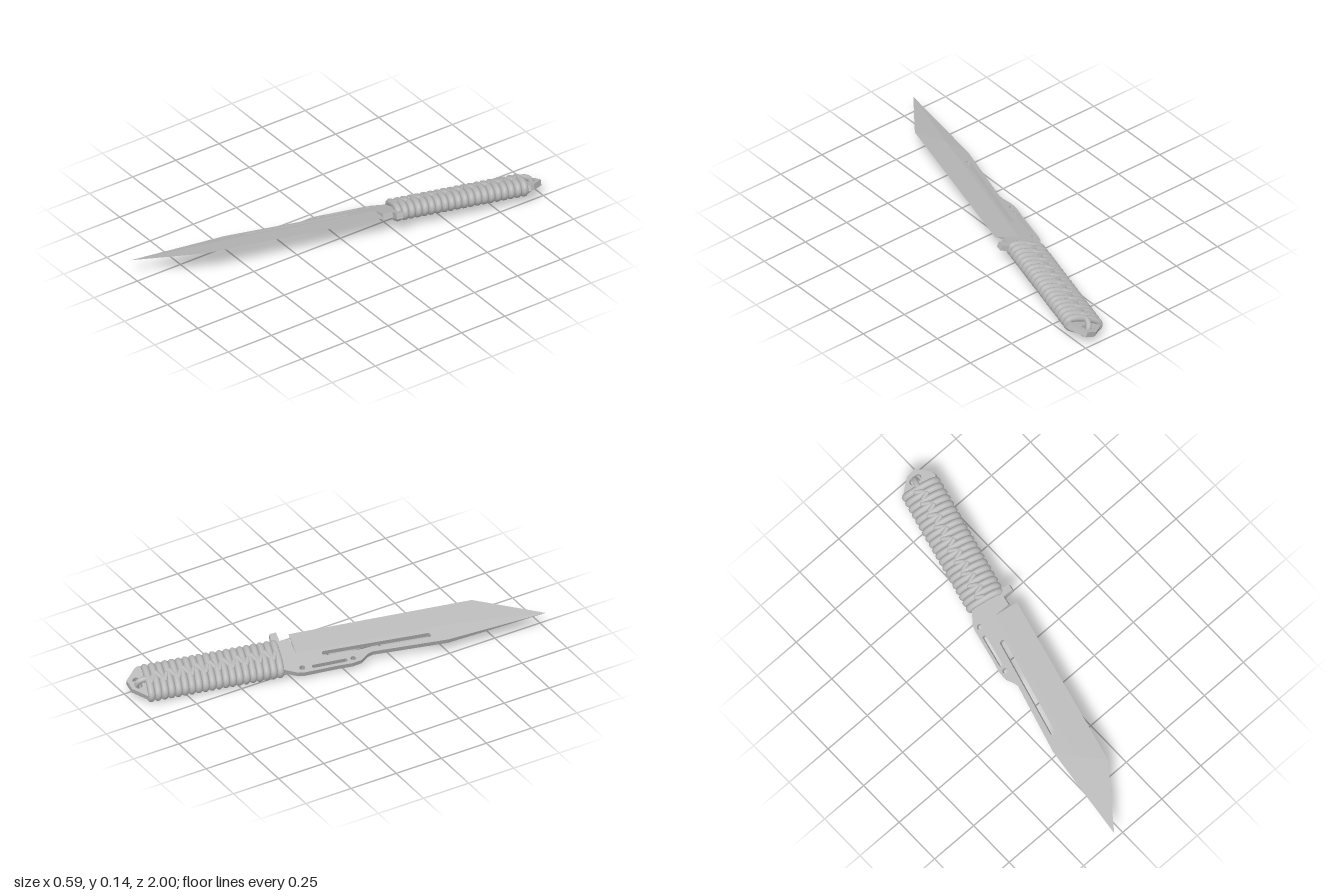
import * as THREE from 'three';

const gray = new THREE.MeshStandardMaterial({ color: 0xb8b8b8 });
gray.name = 'gray';

const K = 1.07;        // widths measured flat, stretched for the roll of the knife
const T = 0.014;       // half thickness of the steel
const MID = -0.033;    // centre line of the handle

function add(parent, name, geometry) {
  const mesh = new THREE.Mesh(geometry, gray);
  mesh.name = name;
  parent.add(mesh);
  return mesh;
}

// Rounded slot as a hole, running along the knife
function slot(x0, a0, x1, a1, r) {
  const p = new THREE.Path();
  const t = Math.atan2(a1 - a0, x1 - x0);
  p.absarc(x1, a1, r, t - Math.PI / 2, t + Math.PI / 2, false);
  p.absarc(x0, a0, r, t + Math.PI / 2, t + Math.PI * 1.5, false);
  p.closePath();
  return p;
}

// Flat steel: spine, guard, tang and pommel in one plate
function steelPlate() {
  const outline = [
    [-0.107, 0.542], [-0.03, 0.62], [-0.03, -0.189], [0.051, -0.198], [0.05, -0.247],
    [0.099, -0.248], [0.097, -0.281], [0.04, -0.29], [0.04, -0.9], [0.058, -0.945],
    [0.05, -0.965], [-0.008, -1.023], [-0.058, -1.012], [-0.115, -0.945], [-0.1, -0.9],
    [-0.1, -0.3], [-0.108, -0.27], [-0.136, -0.21], [-0.14, -0.18], [-0.137, -0.007],
    [-0.138, 0.06], [-0.13, 0.105], [-0.104, 0.145], [-0.096, 0.17],
  ].map(([b, a]) => new THREE.Vector2(b * K, a));
  const shape = new THREE.Shape(outline);
  shape.holes.push(
    slot(-0.062, -0.055, -0.07, 0.455, 0.013),
    slot(-0.125, -0.128, -0.123, 0.03, 0.009),
    slot(-0.121, -0.186, -0.121, -0.184, 0.013),
    slot(-0.121, 0.067, -0.121, 0.069, 0.012),
    slot(-0.05, -0.975, -0.02, -0.978, 0.018),
  );
  const g = new THREE.ExtrudeGeometry(shape, { depth: 2 * T, bevelEnabled: false, curveSegments: 10 });
  g.rotateX(Math.PI / 2);
  g.translate(0, T, 0);
  return g;
}

// Ground part of the blade: thick at the ridge, sharp at the edge and tip
function bevel() {
  const pt = (b, a, y) => [b * K, y, a];
  const heel = pt(0.086, -0.189, 0), corner = pt(0.087, 0.72, 0), tip = pt(-0.054, 1.044, 0);
  const back = (s) => pt(-0.03, -0.189, s * T);
  const ridge = (s) => pt(-0.03, 0.62, s * T);
  const spine = (s) => pt(-0.107, 0.542, s * T);
  const pos = [];
  const tri = (p, q, r, s = 1) => pos.push(...p, ...(s > 0 ? q : r), ...(s > 0 ? r : q));
  for (const s of [1, -1]) {
    tri(back(s), ridge(s), corner, s);
    tri(back(s), corner, heel, s);
    tri(ridge(s), tip, corner, s);
    tri(spine(s), tip, ridge(s), s);
  }
  tri(spine(1), spine(-1), tip);
  tri(back(1), heel, back(-1));
  const g = new THREE.BufferGeometry();
  g.setAttribute('position', new THREE.Float32BufferAttribute(pos, 3));
  g.computeVertexNormals();
  return g;
}

// Flattened oval used by the handle core and every turn of cord
function oval(w, h, t) {
  const f = (v) => Math.sign(v) * Math.abs(v) ** 0.8;
  return [w * f(Math.cos(t)), h * f(Math.sin(t))];
}

function turn(w, h, r, skew) {
  const pts = [];
  for (let i = 0; i < 24; i++) {
    const t = (i / 24) * Math.PI * 2;
    const [x, y] = oval(w, h, t);
    pts.push(new THREE.Vector3(x, y, skew * Math.cos(t)));
  }
  return new THREE.TubeGeometry(new THREE.CatmullRomCurve3(pts, true), 56, r, 10, true);
}

function handle() {
  const group = new THREE.Group();
  group.name = 'handle';
  group.position.x = MID * K;

  // Core under the cord
  const section = [];
  for (let i = 0; i < 32; i++) section.push(new THREE.Vector2(...oval(0.087, 0.034, (i / 32) * Math.PI * 2)));
  const core = new THREE.ExtrudeGeometry(new THREE.Shape(section), { depth: 0.64, bevelEnabled: false });
  core.translate(0, 0, -0.925);
  add(group, 'handleCore', core);

  // Turns of cord, with the braided crossing along the top
  const ring = turn(0.086, 0.032, 0.0175, 0.006);
  const knot = new THREE.CapsuleGeometry(0.012, 0.034, 4, 10);
  knot.rotateZ(Math.PI / 2);
  const count = 20, first = -0.285, last = -0.925;
  const pitch = (last - first) / (count - 1);
  for (let i = 0; i < count; i++) {
    const z = first + pitch * i;
    add(group, 'cordTurn', ring).position.z = z;
    if (i < count - 1) {
      const k = add(group, 'cordCrossing', knot);
      k.position.set(i % 2 ? 0.008 : -0.008, 0.039, z + pitch / 2);
      k.rotation.y = i % 2 ? 0.45 : -0.45;
    }
  }

  // Cord looped through the pommel hole
  const loop = new THREE.CatmullRomCurve3([
    [0, 0.034, -0.915], [0, 0.035, -0.95], [0, 0.022, -0.975], [0, 0, -0.982],
    [0, -0.022, -0.975], [0, -0.035, -0.95], [0, -0.034, -0.915],
  ].map((p) => new THREE.Vector3(...p)));
  add(group, 'pommelCord', new THREE.TubeGeometry(loop, 30, 0.014, 10));
  return group;
}

export function createModel() {
  const knife = new THREE.Group();
  knife.name = 'knife';
  add(knife, 'steelPlate', steelPlate());
  add(knife, 'bladeBevel', bevel());
  knife.add(handle());

  // Resting pose: turned, pitched and rolled
  knife.rotation.order = 'YXZ';
  knife.rotation.set(-0.017, -0.244, 0.363);
  knife.position.y = 0.09;

  const model = new THREE.Group();
  model.name = 'model';
  model.add(knife);
  return model;
}
